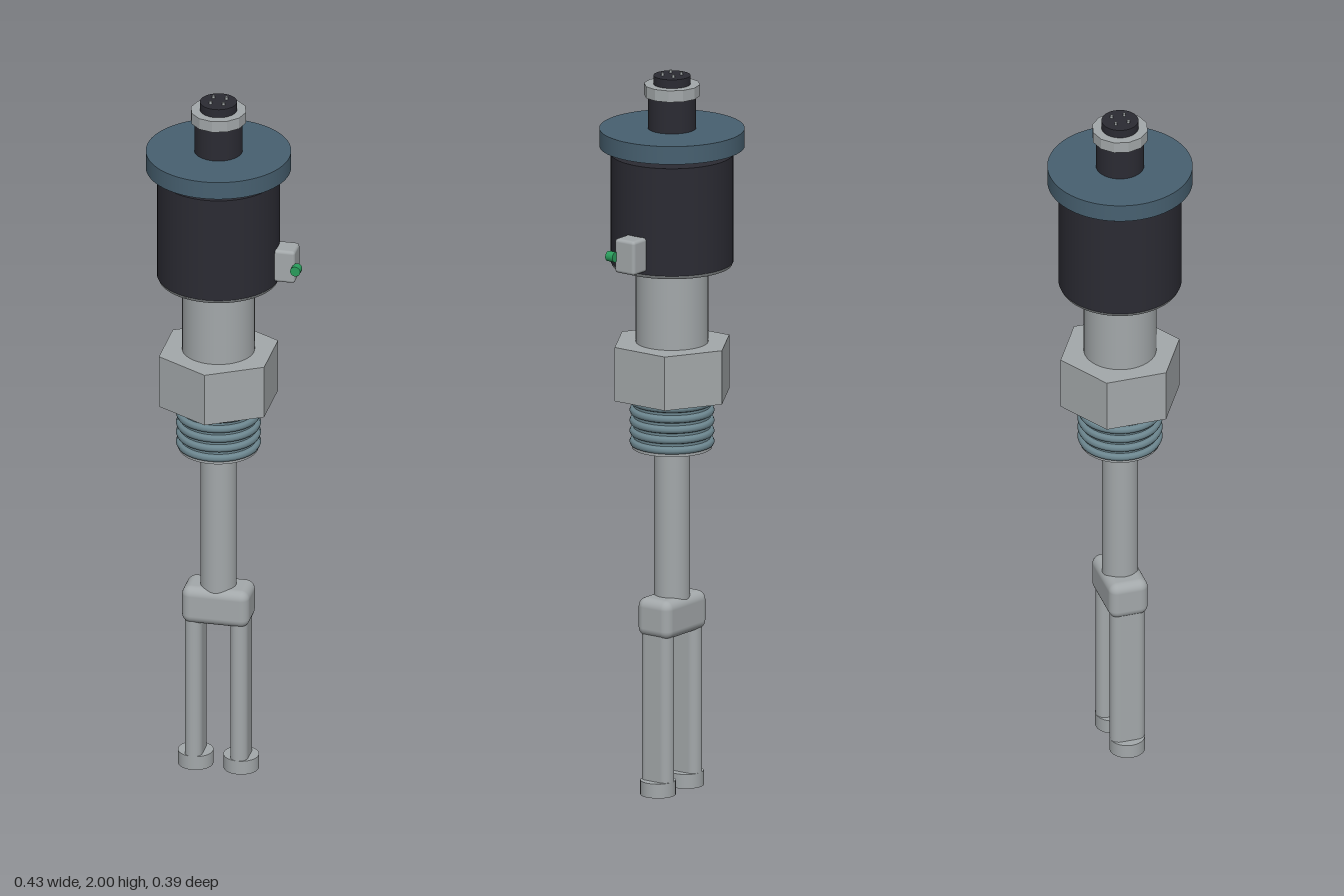
import * as THREE from 'three';
import { RoundedBoxGeometry } from 'three/addons/geometries/RoundedBoxGeometry.js';

const mat = (name, color, extra = {}) => new THREE.MeshStandardMaterial({ name, color, ...extra });

export function createModel() {
  const steel = mat('steel', 0xa3a8aa);
  const steelFlat = mat('facetedSteel', 0xa3a8aa, { flatShading: true });
  const black = mat('blackPlastic', 0x2b2b33);
  const teal = mat('tealRubber', 0x476070);
  const thread = mat('threadBlue', 0x6d8790);
  const green = mat('greenLamp', 0x2a9d5c);

  const model = new THREE.Group();
  model.name = 'levelSensor';
  const axis = new THREE.Group(); // everything turned about the sensor's own axis
  axis.name = 'sensorBody';
  axis.position.x = -0.022;
  model.add(axis);

  const add = (name, geometry, material, x = 0, y = 0, z = 0, parent = axis) => {
    const mesh = new THREE.Mesh(geometry, material);
    mesh.name = name;
    mesh.position.set(x, y, z);
    parent.add(mesh);
    return mesh;
  };
  // upright cylinder given by its bottom and top heights
  const rod = (name, r, y0, y1, material, sides = 48, x = 0, z = 0) =>
    add(name, new THREE.CylinderGeometry(r, r, y1 - y0, sides), material, x, (y0 + y1) / 2, z);
  const lathe = (name, points, material, sides = 64) =>
    add(name, new THREE.LatheGeometry(points.map(p => new THREE.Vector2(...p)), sides), material);

  // fork prongs: slot-shaped section, standing on round feet
  const slot = new THREE.Shape();
  slot.moveTo(0.024, -0.024);
  slot.absarc(0, 0.024, 0.024, 0, Math.PI, false);
  slot.absarc(0, -0.024, 0.024, Math.PI, Math.PI * 2, false);
  const prong = new THREE.ExtrudeGeometry(slot, { depth: 0.42, bevelEnabled: false, curveSegments: 12 });
  prong.rotateX(-Math.PI / 2);
  for (const s of [-1, 1]) {
    add('forkProng', prong, steel, s * 0.063, 0.035, 0);
    rod('prongFoot', 0.048, 0, 0.04, steel, 32, s * 0.063);
  }

  // fork bridge and probe rod
  add('forkBridge', new RoundedBoxGeometry(0.186, 0.108, 0.11, 4, 0.025), steel, 0, 0.492, 0);
  rod('probeRod', 0.049, 0.53, 0.97, steel);

  // threaded section
  rod('threadCore', 0.104, 0.965, 1.1, thread);
  rod('threadEnd', 0.108, 0.955, 0.968, steel);
  for (let i = 0; i < 5; i++) {
    const ring = new THREE.TorusGeometry(0.104, 0.011, 8, 48);
    ring.rotateX(Math.PI / 2);
    add('threadRing', ring, thread, 0, 0.972 + i * 0.029, 0);
  }

  // hexagonal nut and neck
  rod('hexNut', 0.168, 1.1, 1.25, steelFlat, 6);
  rod('neck', 0.098, 1.25, 1.56, steel);

  // housing: hollow underneath, with a pale rim
  rod('housing', 0.166, 1.51, 1.775, black, 64);
  add('housingSkirt', new THREE.CylinderGeometry(0.166, 0.166, 0.036, 64, 1, true), black, 0, 1.493, 0);
  lathe('housingRim', [[0.148, 1.475], [0.15, 1.466], [0.162, 1.466], [0.166, 1.475]], steel);
  lathe('housingInside', [[0.148, 1.512], [0.148, 1.475]], black);

  // sealing disc
  rod('sealDisc', 0.196, 1.795, 1.845, teal, 72);

  // plug with faceted collar and four pins
  rod('plug', 0.065, 1.845, 1.937, black);
  rod('plugCollar', 0.076, 1.936, 1.968, steelFlat, 12);
  rod('plugTip', 0.05, 1.96, 1.992, black);
  for (const x of [-0.018, 0.018])
    for (const z of [-0.018, 0.018]) rod('pin', 0.004, 1.985, 2, steel, 8, x, z);

  // side block with its lamp
  add('sideBlock', new RoundedBoxGeometry(0.065, 0.095, 0.066, 3, 0.009), steel, 0.163, 1.53, -0.001, model);
  const lamp = new THREE.CylinderGeometry(0.014, 0.014, 0.024, 20);
  lamp.rotateX(Math.PI / 2);
  add('lamp', lamp, green, 0.201, 1.528, 0.036, model);

  return model;
}
